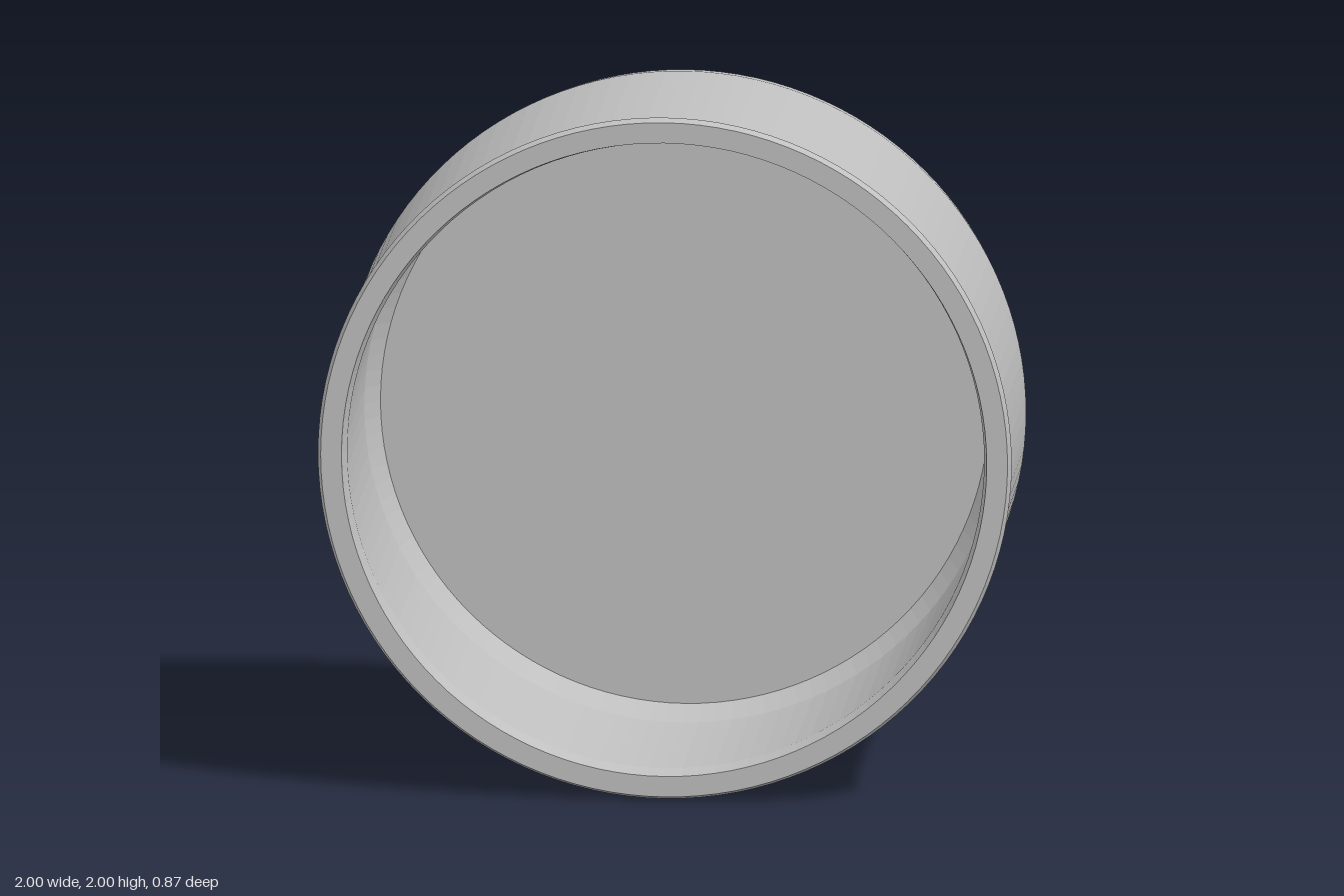
import * as THREE from 'three';

const SEGMENTS = 120;

// Revolves a [radius, z] profile around the z axis with faceted normals.
function revolve(name, profile, material) {
  const points = profile.map(([r, z]) => new THREE.Vector2(r, z));
  const geometry = new THREE.LatheGeometry(points, SEGMENTS).toNonIndexed();
  geometry.rotateX(Math.PI / 2);
  geometry.computeVertexNormals();
  const mesh = new THREE.Mesh(geometry, material);
  mesh.name = name;
  return mesh;
}

export function createModel() {
  const grey = new THREE.MeshStandardMaterial({ color: 0xbfbfbf });
  grey.name = 'plain grey';

  const cap = new THREE.Group();
  cap.name = 'cap';

  // Closed back with its bevel, and the outer wall
  cap.add(revolve('outerShell', [
    [0, -0.435], [0.89, -0.435], [0.972, -0.397], [0.986, -0.31], [0.986, 0.37],
  ], grey));

  // Flared lip around the opening
  cap.add(revolve('rim', [
    [0.986, 0.37], [1, 0.41], [0.99, 0.435], [0.93, 0.435], [0.918, 0.375],
  ], grey));

  // Inner wall, sloped corner and flat floor
  cap.add(revolve('innerShell', [
    [0.918, 0.375], [0.918, -0.265], [0.877, -0.335], [0, -0.335],
  ], grey));

  cap.position.y = 1;
  const model = new THREE.Group();
  model.name = 'roundCap';
  model.add(cap);
  return model;
}
